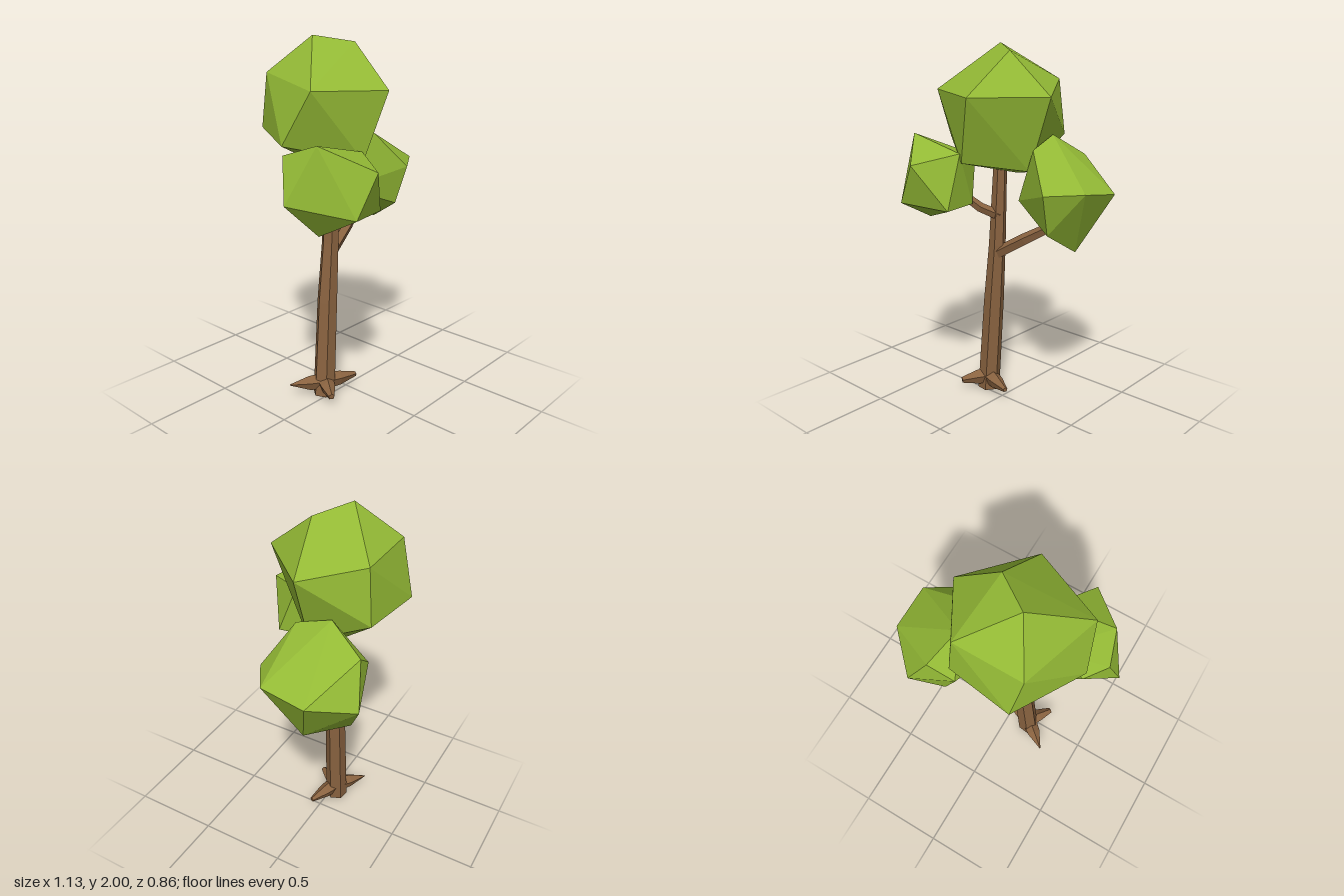
import * as THREE from 'three';
import { ConvexGeometry } from 'three/addons/geometries/ConvexGeometry.js';

const bark = new THREE.MeshStandardMaterial({ color: 0x8a6340, flatShading: true });
const leaf = new THREE.MeshStandardMaterial({ color: 0x93b935, flatShading: true });

// Faceted limb through rings of [x, y, z, radius]; upright limbs keep level rings
function limb(name, rings, sides, turn, level = false) {
  const pos = [], index = [];
  const up = new THREE.Vector3(0, 1, 0);
  const centres = rings.map(r => new THREE.Vector3(r[0], r[1], r[2]));
  rings.forEach((r, i) => {
    const dir = centres[Math.min(i + 1, rings.length - 1)].clone()
      .sub(centres[Math.max(i - 1, 0)]).normalize();
    const u = level ? new THREE.Vector3(0, 0, 1) : new THREE.Vector3().crossVectors(up, dir).normalize();
    const v = level ? new THREE.Vector3(1, 0, 0) : new THREE.Vector3().crossVectors(dir, u);
    for (let s = 0; s < sides; s++) {
      const a = turn + s / sides * Math.PI * 2;
      const p = centres[i].clone().addScaledVector(u, Math.cos(a) * r[3]).addScaledVector(v, Math.sin(a) * r[3]);
      pos.push(p.x, p.y, p.z);
    }
  });
  for (let i = 0; i < rings.length - 1; i++) {
    for (let s = 0; s < sides; s++) {
      const a = i * sides + s, b = i * sides + (s + 1) % sides;
      index.push(a, b, b + sides, a, b + sides, a + sides);
    }
  }
  // End caps
  const last = (rings.length - 1) * sides;
  for (let s = 1; s < sides - 1; s++) {
    index.push(0, s + 1, s, last, last + s, last + s + 1);
  }
  const indexed = new THREE.BufferGeometry();
  indexed.setAttribute('position', new THREE.Float32BufferAttribute(pos, 3));
  indexed.setIndex(index);
  const geo = indexed.toNonIndexed();
  geo.computeVertexNormals();
  const mesh = new THREE.Mesh(geo, bark);
  mesh.name = name;
  return mesh;
}

// Irregular faceted clump of leaves
function foliage(name, corners) {
  const mesh = new THREE.Mesh(new ConvexGeometry(corners.map(c => new THREE.Vector3(...c))), leaf);
  mesh.name = name;
  return mesh;
}

export function createModel() {
  const tree = new THREE.Group();
  tree.name = 'tree';

  // Leaning six-sided trunk
  tree.add(limb('trunk', [
    [-0.143, 0, -0.04, 0.064], [-0.105, 0.56, -0.045, 0.058],
    [-0.078, 0.9, -0.045, 0.048], [-0.055, 1.45, -0.05, 0.036],
  ], 6, 0.4, true));

  // Branches into the side clumps
  tree.add(limb('leftBranch', [
    [-0.07, 0.85, -0.04, 0.036], [0.1, 0.955, -0.075, 0.034], [0.24, 1.04, -0.12, 0.029], [0.29, 1.14, -0.14, 0.024],
  ], 5, 0.3));
  tree.add(limb('rightBranch', [
    [-0.06, 1.07, -0.04, 0.03], [-0.13, 1.12, 0.04, 0.028], [-0.24, 1.23, 0.13, 0.022],
  ], 5, 0.3));

  // Pointed roots around the foot
  const roots = new THREE.Group();
  roots.name = 'roots';
  [[0.05, 0.065, 0.03, 0.014], [-0.23, 0.06, 0.1, 0.018], [-0.3, 0.065, -0.16, 0.003]].forEach(tip => {
    const [x, y, z] = tip;
    roots.add(limb('root', [
      [-0.14, 0.075, -0.035, 0.05],
      [-0.14 + (x + 0.14) * 0.45, 0.07, -0.035 + (z + 0.035) * 0.45, 0.042], tip,
    ], 5, 0.3));
  });
  tree.add(roots);

  // Leaf clumps
  tree.add(foliage('topFoliage', [
    [-0.12, 2, -0.12], [0.06, 1.965, 0.01], [0.01, 1.74, 0.28], [0.3, 1.74, -0.03],
    [-0.375, 1.755, 0.11], [-0.25, 1.81, -0.33], [0.12, 1.81, -0.33], [-0.22, 1.51, -0.41],
    [0.14, 1.51, -0.36], [-0.43, 1.48, -0.04], [-0.1, 1.39, 0.21], [0.165, 1.345, -0.03],
    [-0.02, 1.3, -0.15],
  ]));
  tree.add(foliage('rightFoliage', [
    [-0.25, 1.39, 0.43], [-0.37, 1.17, 0.4], [-0.45, 1.52, 0.22], [-0.565, 1.23, 0.11],
    [-0.51, 1.46, 0.05], [-0.39, 1.05, 0.17], [-0.095, 1.15, 0.32], [-0.11, 1.44, 0.21],
    [-0.42, 1.38, -0.04], [-0.13, 1.15, 0.1], [-0.2, 1.4, 0], [-0.32, 1.17, -0.02],
  ]));
  tree.add(foliage('leftFoliage', [
    [0.2, 1.53, -0.18], [0.38, 1.27, 0.125], [0.555, 1.285, 0.01], [0.565, 1.25, -0.235],
    [0.4, 0.93, -0.13], [0.36, 1.05, 0.06], [0.38, 1.18, -0.43], [0.27, 1.41, -0.375],
    [0.22, 1.47, 0.01], [0.065, 1.17, -0.06], [0.24, 0.96, -0.32], [0.13, 1.3, -0.35],
  ]));
  return tree;
}
